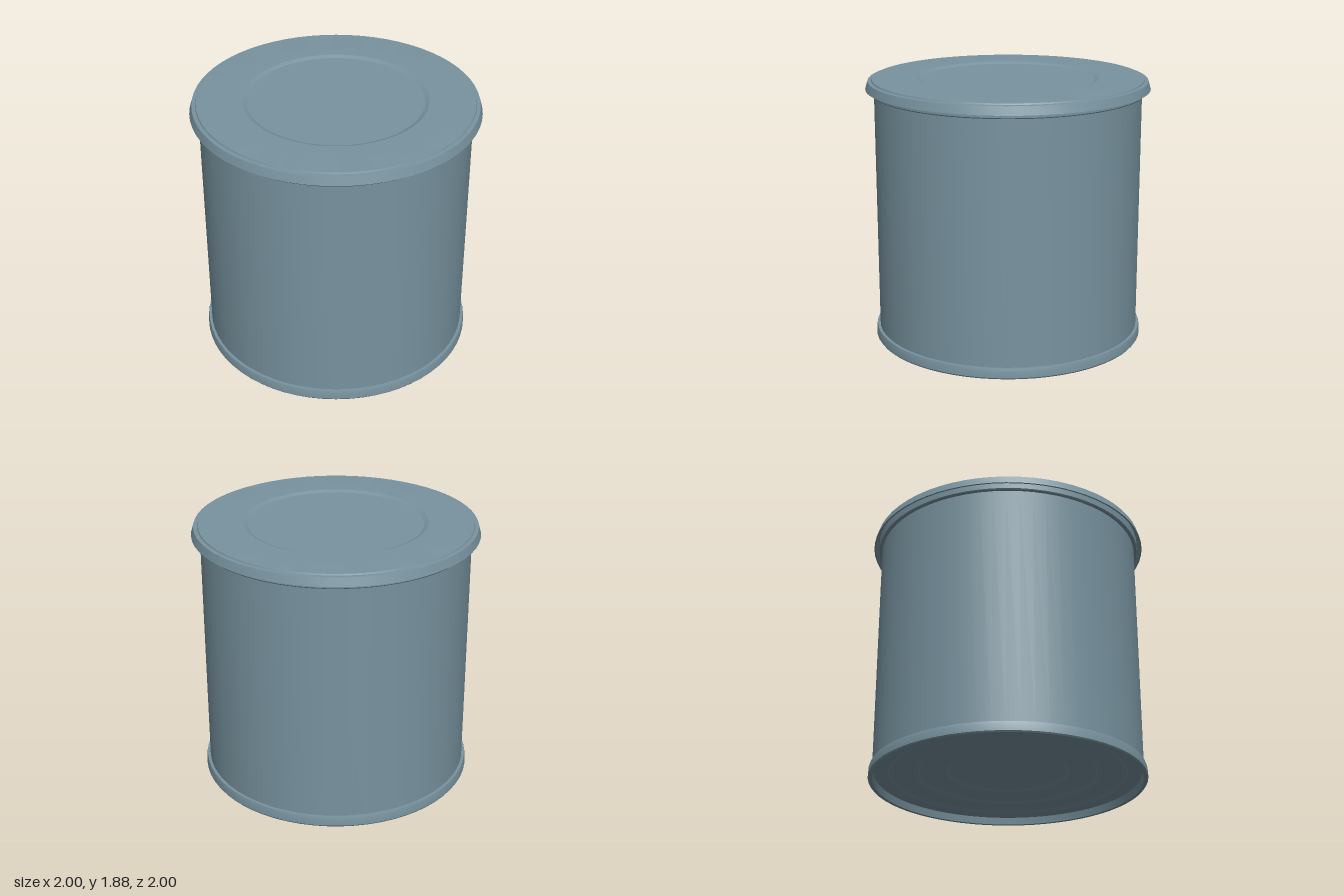
import * as THREE from 'three';
import { toCreasedNormals } from 'three/addons/utils/BufferGeometryUtils.js';

const SIDES = 64;

// Turned part: profile of [radius, height] pairs, counter-clockwise from the axis
function turned(name, profile, material) {
  const points = profile.map(([r, y]) => new THREE.Vector2(r, y));
  const geometry = toCreasedNormals(new THREE.LatheGeometry(points, SIDES), 0.3);
  const mesh = new THREE.Mesh(geometry, material);
  mesh.name = name;
  return mesh;
}

export function createModel() {
  const group = new THREE.Group();
  group.name = 'tinCan';
  const metal = new THREE.MeshStandardMaterial({ color: 0x78939f });

  // Can: stepped concave base, rolled rims and a straight wall
  const base = [[0, 0.095]];
  for (const [radius, low, high] of [[0.4, 0.08, 0.095], [0.61, 0.065, 0.08], [0.8, 0.05, 0.065]]) {
    base.push([radius, high], [radius + 0.03, low]);
  }
  base.push([0.925, 0.05], [0.935, 0], [0.96, 0]);
  const wall = [
    [0.967, 0.01], [0.965, 0.055], [0.96, 0.075], [0.94, 0.075],
    [0.94, 1.78], [0.96, 1.78], [0.965, 1.787], [0.965, 1.85], [0, 1.85],
  ];
  group.add(turned('canBody', [...base, ...wall], metal));

  // Lid: flared thin skirt, small shoulder and a shallow pressed circle on top
  group.add(turned('lid', [
    [0, 1.855], [0.97, 1.855], [0.988, 1.81], [1, 1.81],
    [0.983, 1.868], [0.957, 1.87], [0.953, 1.88],
    [0.638, 1.88], [0.608, 1.867], [0, 1.867],
  ], metal));

  return group;
}
